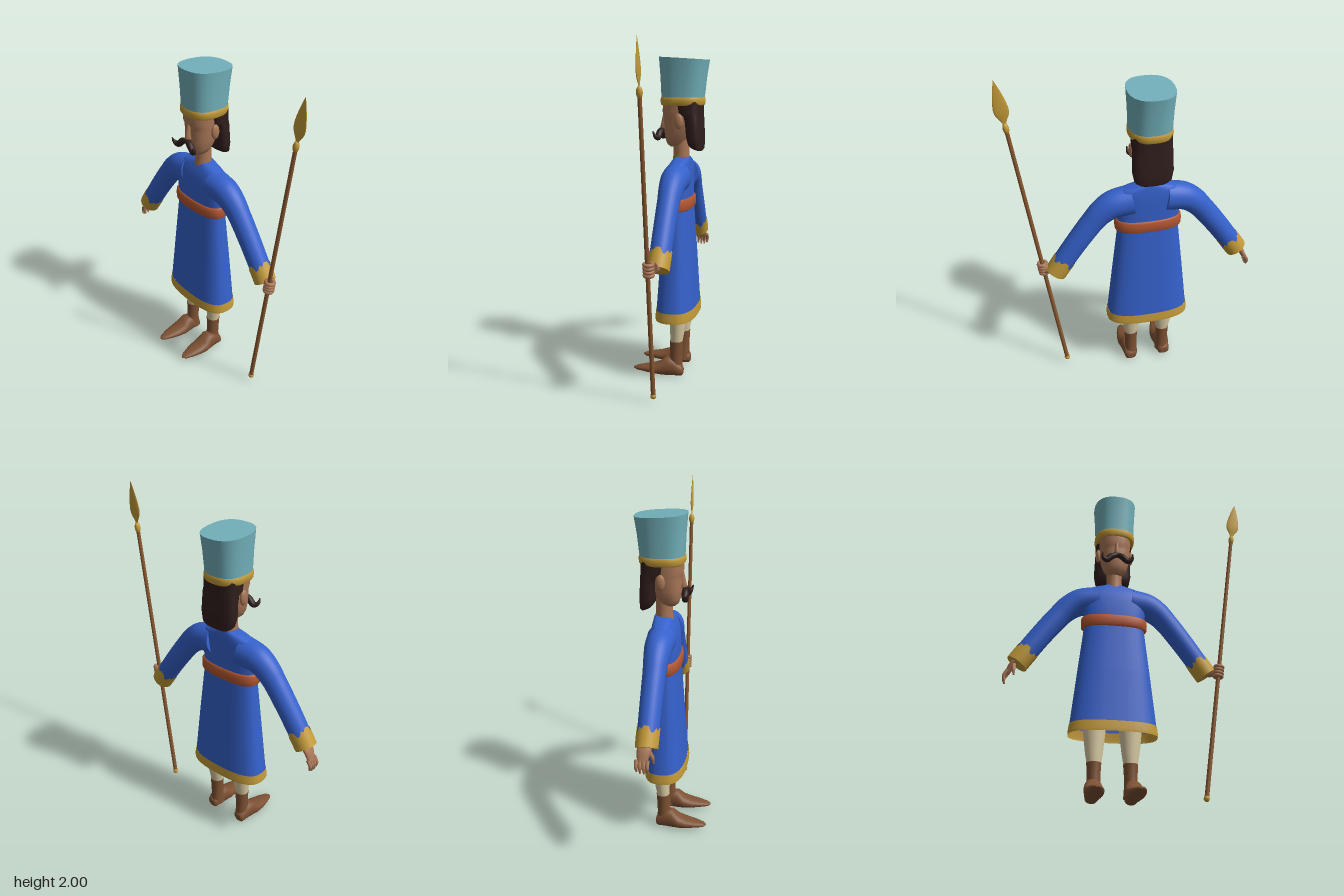
import * as THREE from 'three';

const V3 = (x, y, z) => new THREE.Vector3(x, y, z);
const mat = (name, color, side = THREE.FrontSide) => {
  const m = new THREE.MeshStandardMaterial({ color, side });
  m.name = name;
  return m;
};
const M = {
  blue: mat('tunic blue', 0x3561cb, THREE.DoubleSide),
  gold: mat('gold trim', 0xc39a38, THREE.DoubleSide),
  teal: mat('hat teal', 0x72b0ba),
  rust: mat('belt rust', 0xb25630),
  skin: mat('skin', 0xa97757),
  hair: mat('hair', 0x2f1e1c),
  boot: mat('boot brown', 0x7d5133),
  cream: mat('trouser cream', 0xd8caa2),
  wood: mat('shaft wood', 0x8a5830),
};

function mesh(name, geo, material, parent) {
  const m = new THREE.Mesh(geo, material);
  m.name = name;
  parent.add(m);
  return m;
}

// Superellipse ring around c, spanned by u and v; p < 1 makes it boxier.
function ring(c, u, v, p = 1, n = 32) {
  const se = (t) => Math.sign(t) * Math.abs(t) ** p;
  return Array.from({ length: n }, (_, i) => {
    const a = (i / n) * Math.PI * 2;
    return c.clone().addScaledVector(u, se(Math.cos(a))).addScaledVector(v, se(Math.sin(a)));
  });
}

// Skin over a list of rings, with flat caps at the chosen ends.
function loft(rings, capStart = true, capEnd = true) {
  const pos = [], idx = [], n = rings[0].length;
  rings.forEach((r) => r.forEach((q) => pos.push(q.x, q.y, q.z)));
  for (let i = 0; i < rings.length - 1; i++) {
    for (let j = 0; j < n; j++) {
      const a = i * n + j, b = i * n + ((j + 1) % n);
      idx.push(a, a + n, b, b, a + n, b + n);
    }
  }
  const cap = (r, flip) => {
    const base = pos.length / 3;
    const c = r.reduce((s, q) => s.add(q), V3(0, 0, 0)).divideScalar(n);
    [...r, c].forEach((q) => pos.push(q.x, q.y, q.z));
    for (let j = 0; j < n; j++) {
      const a = base + j, b = base + ((j + 1) % n);
      idx.push(...(flip ? [base + n, a, b] : [base + n, b, a]));
    }
  };
  if (capStart) cap(rings[0], true);
  if (capEnd) cap(rings[rings.length - 1], false);
  const g = new THREE.BufferGeometry();
  g.setAttribute('position', new THREE.Float32BufferAttribute(pos, 3));
  g.setIndex(idx);
  g.computeVertexNormals();
  return g;
}

// Upright loft; each level is [y, half width, front z, back z, tilt].
const column = (levels, { p = 1, x = 0, start = true, end = true } = {}) =>
  loft(levels.map(([y, rx, zf, zb, tilt = 0]) =>
    ring(V3(x, y, (zf + zb) / 2), V3(rx, 0, 0), V3(0, tilt, (zf - zb) / 2), p)), start, end);

// Rings along a curve with varying radius; flat scales the depth.
function tubeRings(points, radii, flat = 1, steps = 16, n = 16) {
  const curve = new THREE.CatmullRomCurve3(points.map((q) => V3(...q)));
  return Array.from({ length: steps + 1 }, (_, i) => {
    const t = i / steps, f = t * (radii.length - 1), k = Math.min(Math.floor(f), radii.length - 2);
    const r = THREE.MathUtils.lerp(radii[k], radii[k + 1], f - k);
    const d = curve.getTangent(t);
    const u = d.clone().cross(V3(0, 0, 1)).normalize();
    const v = u.clone().cross(d);
    return ring(curve.getPoint(t), u.multiplyScalar(r), v.multiplyScalar(r * flat), 1, n);
  });
}
const tube = (...args) => loft(tubeRings(...args));

function ball(name, material, parent, position, scale) {
  const m = mesh(name, new THREE.SphereGeometry(1, 20, 14), material, parent);
  m.position.set(...position);
  m.scale.set(...scale);
  return m;
}

function buildHead(body) {
  const head = new THREE.Group();
  head.name = 'head';
  body.add(head);
  mesh('neck', column([[1.31, 0.05, 0, -0.1], [1.37, 0.047, -0.005, -0.1], [1.46, 0.05, 0, -0.1]]), M.skin, head);
  mesh('face', column([
    [1.395, 0.035, 0.015, -0.05], [1.41, 0.055, 0.032, -0.07], [1.44, 0.073, 0.042, -0.09],
    [1.49, 0.086, 0.05, -0.12], [1.55, 0.092, 0.05, -0.14], [1.575, 0.094, 0.05, -0.14],
    [1.6, 0.096, 0.06, -0.14], [1.66, 0.098, 0.055, -0.14]], { p: 0.85 }), M.skin, head);
  mesh('nose', column([
    [1.495, 0.012, 0.066, 0.03], [1.505, 0.02, 0.078, 0.03],
    [1.53, 0.014, 0.072, 0.03], [1.59, 0.01, 0.06, 0.03]]), M.skin, head);
  mesh('hair', column([
    [1.385, 0.085, -0.112, -0.176, 0.012], [1.40, 0.106, -0.1, -0.182, 0.014], [1.45, 0.116, -0.09, -0.184],
    [1.53, 0.113, -0.082, -0.18], [1.575, 0.112, -0.07, -0.178], [1.59, 0.112, -0.035, -0.178],
    [1.66, 0.113, -0.02, -0.178]], { p: 0.7 }), M.hair, head);
  for (const s of [-1, 1]) {
    ball('ear', M.skin, head, [s * 0.102, 1.547, -0.056], [0.016, 0.045, 0.026]);
    mesh('moustacheHalf', tube(
      [[0, 1.495, 0.066], [s * 0.035, 1.478, 0.072], [s * 0.065, 1.45, 0.076], [s * 0.088, 1.458, 0.086], [s * 0.092, 1.488, 0.1]],
      [0.015, 0.02, 0.018, 0.012, 0.003]), M.hair, head);
  }
  // Hat flares towards a slightly tilted top
  mesh('hat', column([[1.67, 0.118, 0.064, -0.184], [1.8, 0.123, 0.07, -0.198], [1.905, 0.13, 0.079, -0.213, 0.009]],
    { p: 0.8 }), M.teal, head);
  mesh('hatBand', column([
    [1.637, 0.116, 0.062, -0.182], [1.645, 0.122, 0.068, -0.188], [1.665, 0.124, 0.07, -0.19],
    [1.68, 0.122, 0.068, -0.188], [1.687, 0.116, 0.062, -0.182]], { p: 0.8 }), M.gold, head);
}

function buildTunic(body) {
  mesh('torso', column([
    [1.04, 0.18, 0.036, -0.115], [1.12, 0.186, 0.038, -0.115], [1.2, 0.2, 0.034, -0.116],
    [1.25, 0.21, 0.026, -0.116], [1.285, 0.2, 0.012, -0.113], [1.31, 0.14, 0, -0.11],
    [1.328, 0.075, -0.01, -0.107], [1.335, 0.052, -0.012, -0.105]], { p: 0.8 }), M.blue, body);
  mesh('skirt', column([[0.43, 0.247, 0.078, -0.154], [0.75, 0.212, 0.056, -0.135], [1.05, 0.178, 0.036, -0.115]],
    { p: 0.75, start: false }), M.blue, body);
  mesh('hem', column([[0.372, 0.254, 0.084, -0.16], [0.39, 0.255, 0.085, -0.161], [0.433, 0.249, 0.08, -0.156]],
    { p: 0.75, start: false, end: false }), M.gold, body);
  mesh('belt', column([
    [1.028, 0.188, 0.04, -0.118], [1.036, 0.197, 0.05, -0.126], [1.065, 0.199, 0.052, -0.128],
    [1.092, 0.197, 0.05, -0.126], [1.1, 0.188, 0.04, -0.118]], { p: 0.8 }), M.rust, body);
}

function buildArm(body, s) {
  const z = -0.05;
  mesh('sleeve', tube(
    [[s * 0.1, 1.225, z], [s * 0.205, 1.208, z], [s * 0.27, 1.168, z], [s * 0.325, 1.11, z],
      [s * 0.42, 0.985, z], [s * 0.5, 0.87, z], [s * 0.555, 0.788, z]],
    [0.09, 0.084, 0.076, 0.069, 0.066, 0.064, 0.062], 0.92, 30, 28), M.blue, body);
  // Cuff with a ragged upper edge
  const rings = tubeRings([[s * 0.497, 0.874, z], [s * 0.53, 0.826, z], [s * 0.56, 0.781, z]],
    [0.067, 0.067, 0.066], 0.94, 3, 28);
  rings[0].forEach((q, i) => q.lerp(rings[1][i], [0, 0.1, 0.9, 0.8, 0.2, 0.5, 0][i % 7]));
  mesh('cuff', loft(rings, false, true), M.gold, body);
}

function buildOpenHand(body) {
  mesh('palm', tube([[-0.55, 0.815, -0.055], [-0.585, 0.775, -0.06], [-0.61, 0.725, -0.065]],
    [0.022, 0.019, 0.014], 2, 8), M.skin, body);
  for (let i = 0; i < 4; i++) {
    const z = -0.095 + i * 0.02, drop = [0.012, 0.002, 0, 0.008][i];
    mesh('finger', tube([[-0.608, 0.735, z], [-0.627, 0.7, z], [-0.622, 0.662 + drop, z + 0.002]],
      [0.011, 0.01, 0.005], 1, 8, 10), M.skin, body);
  }
  mesh('thumb', tube([[-0.575, 0.77, -0.035], [-0.575, 0.735, -0.016], [-0.572, 0.7, -0.012]],
    [0.014, 0.011, 0.005], 1, 8, 10), M.skin, body);
}

function buildLeg(body, s) {
  const x = s * 0.103;
  mesh('trouserLeg', column([[0.2, 0.037, -0.012, -0.08], [0.28, 0.05, -0.008, -0.095], [0.42, 0.066, -0.005, -0.108]], { x }),
    M.cream, body);
  mesh('bootShaft', column([[0.03, 0.042, 0, -0.086], [0.1, 0.037, -0.004, -0.082], [0.16, 0.038, -0.008, -0.084],
    [0.222, 0.042, -0.006, -0.088]], { x }), M.boot, body);
  // Foot sections from heel to pointed toe: z, centre y, half height, half width
  const foot = [[-0.09, 0.035, 0.02, 0.02], [-0.08, 0.038, 0.034, 0.037], [-0.03, 0.058, 0.056, 0.045],
    [0.01, 0.06, 0.06, 0.051], [0.05, 0.044, 0.04, 0.056], [0.1, 0.038, 0.028, 0.052],
    [0.15, 0.036, 0.02, 0.041], [0.2, 0.033, 0.012, 0.024], [0.218, 0.032, 0.004, 0.008]];
  mesh('bootFoot', loft(foot.map(([z, y, h, w]) =>
    ring(V3(s * (0.106 + 0.03 * Math.max(z, 0) + 0.004), y, z), V3(0, h, 0), V3(w, 0, 0), 0.9))), M.boot, body);
}

function buildSpear(root) {
  const spear = new THREE.Group();
  spear.name = 'spear';
  spear.position.set(0.43, 0.04, -0.01);
  spear.rotation.z = -0.1407;
  root.add(spear);
  mesh('shaft', new THREE.CylinderGeometry(0.011, 0.013, 1.71, 16), M.wood, spear).position.y = 0.855;
  ball('buttKnob', M.gold, spear, [0, 0.002, 0], [0.017, 0.019, 0.017]);
  ball('socket', M.gold, spear, [0, 1.705, 0], [0.017, 0.032, 0.017]);
  const profile = [[0.006, 1.725], [0.016, 1.75], [0.033, 1.78], [0.04, 1.81], [0.036, 1.85], [0.025, 1.9], [0.012, 1.945], [0, 1.98]];
  const blade = mesh('blade', new THREE.LatheGeometry(
    new THREE.SplineCurve(profile.map((q) => new THREE.Vector2(...q))).getPoints(24), 24), M.gold, spear);
  blade.scale.z = 0.18;
  // Hand closed around the shaft
  for (let i = 0; i < 4; i++) {
    const f = mesh('grippingFinger', new THREE.TorusGeometry(0.022, 0.0115, 10, 20), M.skin, spear);
    f.rotation.x = Math.PI / 2;
    f.position.set(0, 0.738 + i * 0.02, -0.006);
  }
}

export function createModel() {
  const root = new THREE.Group();
  root.name = 'guard';
  const body = new THREE.Group();
  body.name = 'body';
  body.position.x = -0.09;
  root.add(body);
  buildHead(body);
  buildTunic(body);
  for (const s of [-1, 1]) {
    buildArm(body, s);
    buildLeg(body, s);
  }
  buildOpenHand(body);
  mesh('gripPalm', tube([[0.54, 0.805, -0.05], [0.58, 0.808, -0.048], [0.62, 0.81, -0.042]],
    [0.026, 0.032, 0.03], 0.75, 8), M.skin, body);
  buildSpear(root);
  return root;
}
